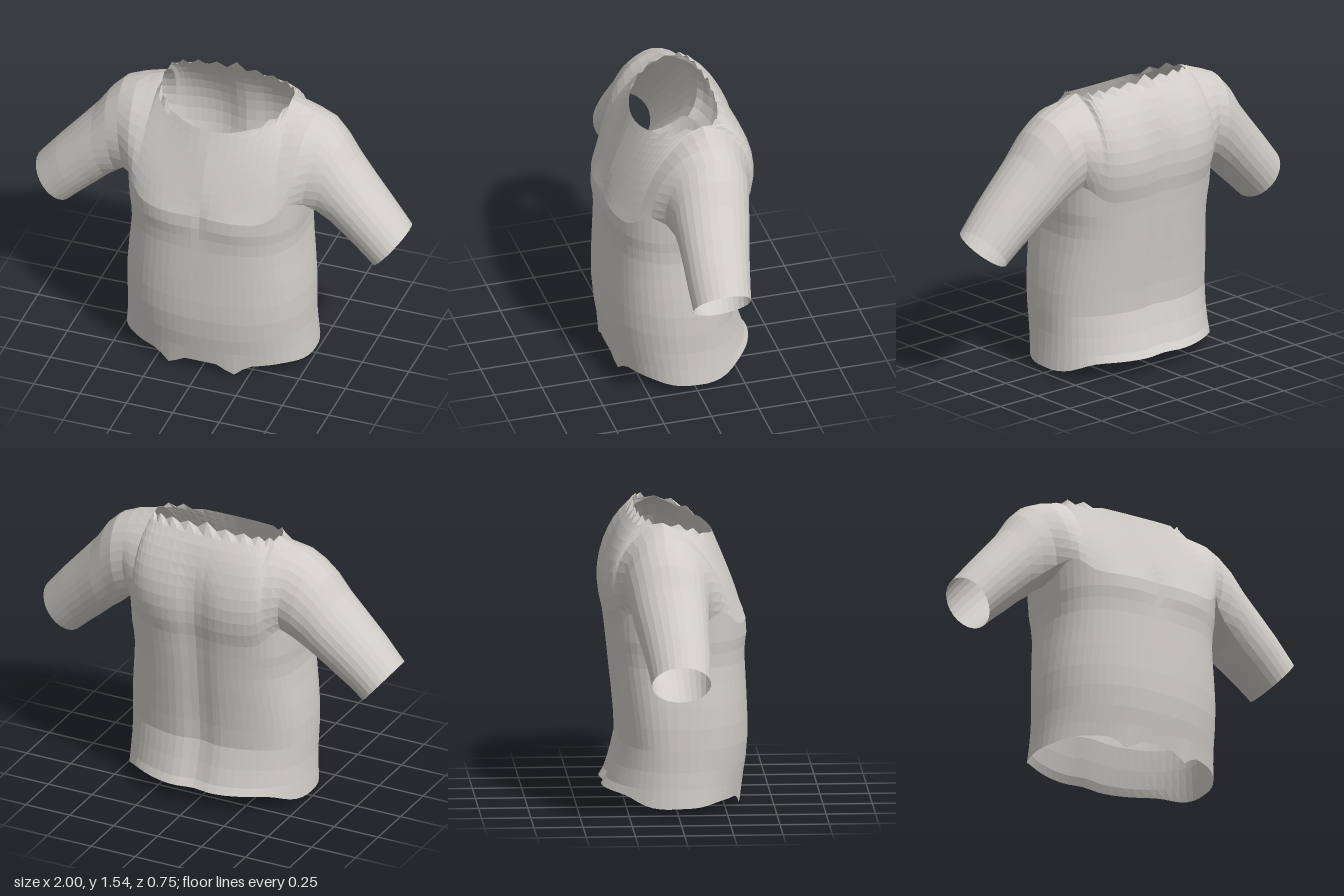
import * as THREE from 'three';

const M = 64;        // points around the torso
const COLS = 12;     // columns from centre line to armhole
const ROWS = 10;     // rows from armpit level to neck
const NECK = 10;     // last column that ends at the neckline
const lerp = THREE.MathUtils.lerp;
const bump = (d, r) => Math.exp(-(d * d) / (r * r));
const range = (n, f) => Array.from({ length: n }, (_, i) => f(i));

// torso sections: height, half width, front z, back z
const SECTIONS = [
  [0.05, 0.5, 0.345, -0.38], [0.13, 0.492, 0.356, -0.355], [0.22, 0.487, 0.37, -0.325],
  [0.33, 0.488, 0.379, -0.297], [0.44, 0.485, 0.378, -0.302], [0.55, 0.475, 0.373, -0.312],
  [0.66, 0.462, 0.367, -0.324], [0.75, 0.454, 0.362, -0.333], [0.82, 0.456, 0.361, -0.34],
  [0.88, 0.463, 0.363, -0.345], [0.95, 0.47, 0.36, -0.352],
];
const HEM = SECTIONS[0], ARMPIT = SECTIONS[SECTIONS.length - 1];

// body relief: chest, breastbone, spine, shoulder blades
function relief([x, y, z]) {
  const ax = Math.abs(x);
  if (z > 0.15) {
    z += 0.01 * bump(ax - 0.18, 0.13) * bump(y - 0.9, 0.08);
    z -= 0.008 * bump(x, 0.03) * bump(y - 0.93, 0.09);
  } else if (z < -0.15) {
    z += 0.025 * bump(x, 0.08) * Math.min(1, Math.max(0, (1.45 - y) * 4));
    z -= 0.01 * bump(ax - 0.18, 0.12) * bump(y - 1.15, 0.17);
  }
  return [x, y, z];
}

function hemHeight(x, z) {
  const ax = Math.abs(x);
  if (z < 0) return 0.092 - 0.06 * bump(ax - 0.5, 0.08);
  return 0.055 - 0.055 * bump(ax - 0.17, 0.05) - 0.02 * bump(ax - 0.5, 0.06);
}

// point i runs from the front centre line over +x to the back;
// sections are oval at the hem and squarer at the chest
function torsoPoint(section, i) {
  const [y, w, zf, zb] = section;
  const n = i > M / 2 ? i - M : i, half = M / 4;
  const front = Math.abs(n) <= half;
  const k = front ? Math.abs(n) : M / 2 - Math.abs(n);
  const power = lerp(0.95, 0.68, y / 0.95);
  const a = (k / half) ** lerp(1.1, 1.4, y / 0.95) * Math.PI / 2;
  const x = Math.sign(n) * w * Math.sin(a) ** power;
  const z = (front ? zf : zb) * Math.max(0, Math.cos(a)) ** power;
  if (section === HEM) return [x, hemHeight(x, z), z];
  // the armhole rises at its front and back corners
  return [x, section === ARMPIT ? y + 0.09 * bump(k - COLS, 2.5) : y, z];
}

// neckline, then shoulder crest, for column j (0 = centre)
function topPoint(j, front) {
  const k = Math.abs(j), side = Math.sign(j);
  if (k > NECK) {
    const t = (k - NECK) / (COLS - NECK);
    return [side * lerp(0.345, 0.48, t), lerp(1.487, 1.435, t), -0.07];
  }
  const a = (k / NECK) * Math.PI / 2, c = Math.max(0, Math.cos(a));
  const x = side * 0.345 * Math.sin(a);
  return front
    ? [x, 1.487 - 0.107 * c ** 1.3, -0.07 + 0.27 * c]
    : [x, 1.487 + 0.028 * c, -0.07 - 0.13 * Math.sqrt(c)];
}

// torn edge of the neckline
function jag(j, front) {
  const k = Math.abs(j);
  if (k >= NECK || (front && k < 5)) return 0;
  return k === 0 ? 0.03 : (k % 2 ? -0.012 : 0.012);
}

// one yoke column, a cubic curve from the torso ring to the neck or crest
function yokePoint(j, r, front) {
  const b = torsoPoint(ARMPIT, front ? j : M / 2 - j);
  const e = topPoint(j, front), u = Math.abs(j) / COLS, t = r / ROWS, s = 1 - t;
  const swell = front ? 0 : 0.035 * Math.sin(Math.PI * u ** 1.5);
  const [y1, z1, y2, z2] = front
    ? [lerp(1.083, 1.2, u), lerp(0.325, 0.23, u), lerp(1.225, 1.435, u), lerp(0.265, 0.11, u)]
    : [lerp(1.2, 1.2, u), lerp(-0.41, -0.34, u), lerp(1.4, 1.435, u), lerp(-0.325, -0.24, u)];
  const c1 = [lerp(b[0], e[0], 1 / 3), y1, z1 - swell];
  const c2 = [lerp(b[0], e[0], 2 / 3), y2, z2 - swell];
  const p = b.map((v, n) =>
    s ** 3 * v + 3 * s * s * t * c1[n] + 3 * s * t * t * c2[n] + t ** 3 * e[n]);
  if (r === ROWS) p[1] += jag(j, front);
  return p;
}

// skin a stack of rows, each an array of points
function loft(rows, closed, flip = false) {
  const n = rows[0].length, index = [];
  for (let r = 0; r < rows.length - 1; r++) {
    for (let i = 0; i < (closed ? n : n - 1); i++) {
      const k = (i + 1) % n;
      const a = r * n + i, b = r * n + k, c = b + n, d = a + n;
      index.push(...(flip ? [a, c, b, a, d, c] : [a, b, c, a, c, d]));
    }
  }
  const g = new THREE.BufferGeometry();
  g.setAttribute('position', new THREE.Float32BufferAttribute(rows.flat(2), 3));
  g.setIndex(index);
  g.computeVertexNormals();
  return g;
}

// sleeve rings: the armhole, easing into tilted ovals out to the cuff
function sleeveRows() {
  const over = 2 * ROWS + 1, under = M / 2 - 2 * COLS - 1;
  const armhole = [
    ...range(ROWS + 1, r => yokePoint(COLS, r, true)),
    ...range(ROWS, r => yokePoint(COLS, ROWS - 1 - r, false)),
    ...range(under, i => torsoPoint(ARMPIT, M / 2 - COLS - 1 - i)),
  ].map(relief);
  const angle = i => i < over
    ? -Math.PI / 4 + 1.5 * Math.PI * i / (over - 1)
    : 1.25 * Math.PI + 0.5 * Math.PI * (i - over + 1) / (under + 1);
  const oval = ([tx, ty, bx, by, zf, zb]) => range(over + under, i => {
    const s = (Math.sin(angle(i)) + 1) / 2, c = Math.cos(angle(i));
    return [lerp(bx, tx, s), lerp(by, ty, s), (zf + zb) / 2 + c * (zf - zb) / 2];
  });
  // top x, top y, bottom x, bottom y, front z, back z, share of armhole shape
  const rings = [
    [0.56, 1.4, 0.5, 0.935, 0.17, -0.262, 0.6], [0.63, 1.33, 0.54, 0.9, 0.155, -0.246, 0.3],
    [0.7, 1.225, 0.6, 0.855, 0.148, -0.23, 0.12], [0.79, 1.12, 0.67, 0.79, 0.145, -0.205, 0.03],
    [0.89, 1.005, 0.745, 0.725, 0.145, -0.182, 0], [1.0, 0.87, 0.82, 0.655, 0.14, -0.16, 0],
  ];
  const base = oval([0.48, 1.435, 0.47, 0.95, 0.21, -0.265]);
  return [armhole, ...rings.map(ring => oval(ring).map((p, i) =>
    p.map((v, n) => v + ring[6] * (armhole[i][n] - base[i][n]))))];
}

export function createModel() {
  const group = new THREE.Group();
  const cloth = new THREE.MeshStandardMaterial({
    color: 0xd0cdc8, flatShading: true, side: THREE.DoubleSide,
  });
  cloth.name = 'light grey cloth';
  const add = (name, geometry) => {
    const mesh = new THREE.Mesh(geometry, cloth);
    mesh.name = name;
    group.add(mesh);
  };

  // lower body, open at the hem
  add('torso', loft(SECTIONS.map(s => range(M, i => relief(torsoPoint(s, i)))), true));

  // chest and upper back, up to the neckline
  const panel = front => range(ROWS + 1, r =>
    range(2 * COLS + 1, i => relief(yokePoint(i - COLS, r, front))));
  add('frontYoke', loft(panel(true), false));
  add('backYoke', loft(panel(false), false, true));

  // mirrored sleeves
  for (const side of [1, -1]) {
    const rows = sleeveRows().map(ring => ring.map(([x, y, z]) => [side * x, y, z]));
    add(side > 0 ? 'leftSleeve' : 'rightSleeve', loft(rows, true, side > 0));
  }
  return group;
}
